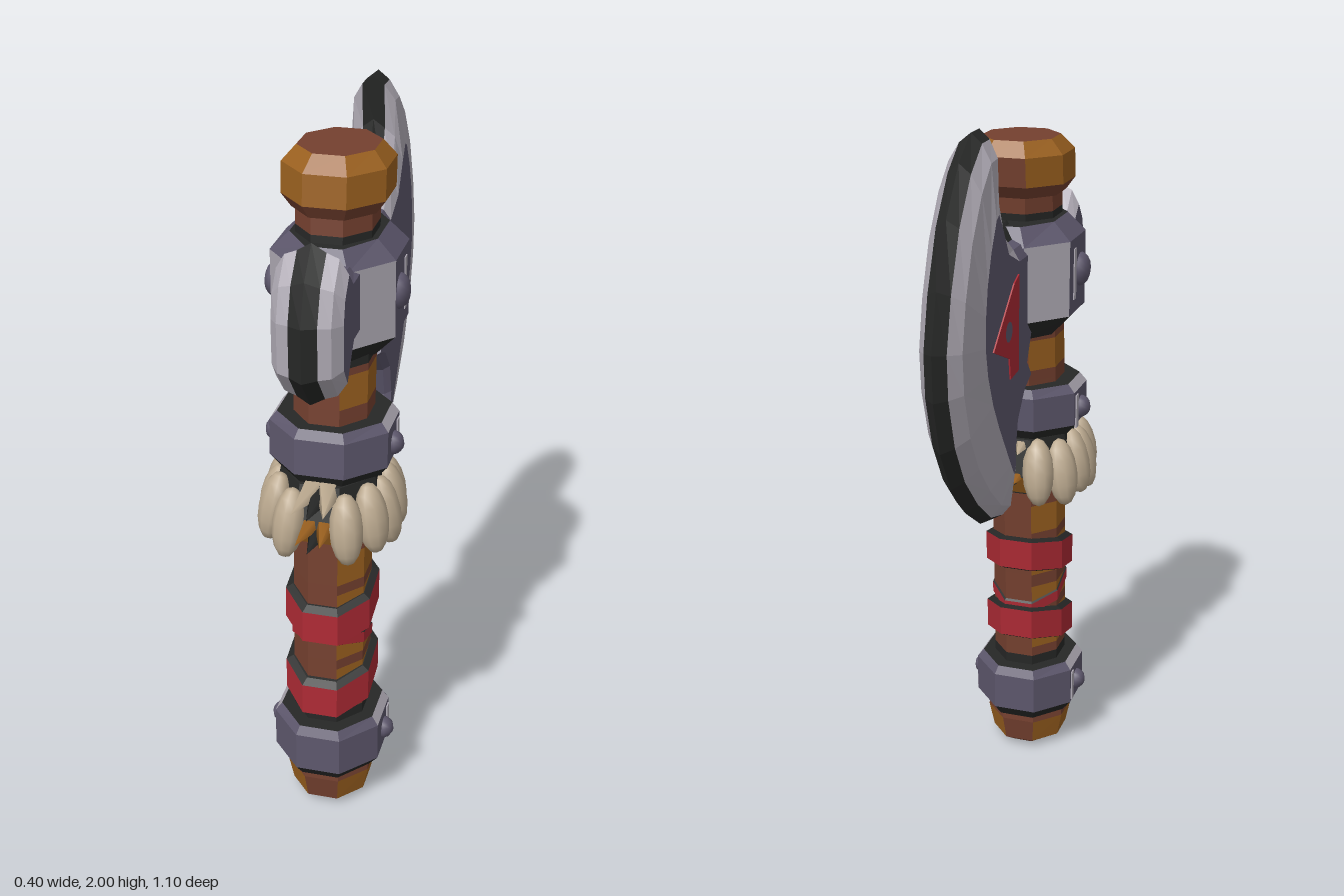
import * as THREE from 'three';

const mat = (name, color) => {
  const m = new THREE.MeshStandardMaterial({ color });
  m.name = name;
  return m;
};
const M = {
  wood: mat('brown wood', 0x74402f), grain: mat('orange wood', 0x9a601f),
  dark: mat('black edge', 0x262726), steel: mat('purple steel', 0x5d576c),
  light: mat('light steel', 0xaea9b3), red: mat('red cloth', 0xac2a34),
  cream: mat('cream fur', 0xbcaa90),
};
const SIDES = 8;

// The handle bends slightly backwards as it rises
const bend = (y) => 0.29 - 0.012 * y - 0.027 * y * y;

// Flat-shaded mesh from triangles sorted by material name
function facets(name, tris) {
  const used = [...new Set(tris.map((t) => t[0]))];
  const pos = [];
  const geo = new THREE.BufferGeometry();
  used.forEach((key, i) => {
    const start = pos.length / 3;
    for (const t of tris) if (t[0] === key) pos.push(...t[1], ...t[2], ...t[3]);
    geo.addGroup(start, pos.length / 3 - start, i);
  });
  geo.setAttribute('position', new THREE.Float32BufferAttribute(pos, 3));
  geo.computeVertexNormals();
  const mesh = new THREE.Mesh(geo, used.map((k) => M[k]));
  mesh.name = name;
  return mesh;
}
const quad = (tris, key, a, b, c, d) => tris.push([key, a, b, c], [key, a, c, d]);

// Eight-sided loft around the handle; rows are [y, half width x, half width z].
// Odd sides face straight out, even sides are the corners.
function loft(name, rows, colour, { shear = 0, centre = bend } = {}) {
  const c = Math.cos(Math.PI / SIDES), tris = [];
  const ring = rows.map(([y, rx, rz]) => Array.from({ length: SIDES }, (_, i) => {
    const a = ((i + 0.5) / SIDES) * Math.PI * 2, dz = (Math.cos(a) * rz) / c;
    return [(Math.sin(a) * rx) / c, y - shear * dz, centre(y) + dz];
  }));
  const last = rows.length - 1;
  const mid = (j) => [0, rows[j][0], centre(rows[j][0])];
  for (let i = 0; i < SIDES; i++) {
    const n = (i + 1) % SIDES;
    for (let j = 0; j < last; j++) {
      quad(tris, colour(j, i), ring[j][i], ring[j][n], ring[j + 1][n], ring[j + 1][i]);
    }
    tris.push([colour(last, i), mid(last), ring[last][i], ring[last][n]]);
    tris.push([colour(0, i), mid(0), ring[0][n], ring[0][i]]);
  }
  return facets(name, tris);
}

// Sharp-edged plate mirrored in x; rows are [z, y, body z, body y, rim share]
function bladePlate(name, rows, half) {
  const tris = [], n = rows.length;
  for (const s of [1, -1]) {
    const loop = (x, share) => rows.map(([z, y, bz, by, t]) => {
      const u = share(t);
      return [s * x * half, y + (by - y) * u, z + (bz - z) * u];
    });
    const loops = [loop(0, () => 0), loop(0.4, (t) => t),
      loop(0.75, (t) => t + (1 - t) * 0.25), loop(1, () => 1)];
    for (let j = 0; j < 3; j++) {
      for (let k = 0; k < n; k++) {
        const m = (k + 1) % n;
        const isLight = rows[k][4] < 0.5 && rows[m][4] < 0.5;
        const key = j === 0 ? 'dark' : isLight ? 'light' : 'steel';
        const q = [loops[j + 1][k], loops[j + 1][m], loops[j][m], loops[j][k]];
        quad(tris, key, ...(s > 0 ? q : q.reverse()));
      }
    }
    const body = loops[3].map((p) => new THREE.Vector2(-p[2], p[1]));
    for (const [a, b, c] of THREE.ShapeUtils.triangulateShape(body, [])) {
      const turn = body[b].clone().sub(body[a]).cross(body[c].clone().sub(body[a]));
      const f = turn * s > 0 ? [a, b, c] : [a, c, b];
      tris.push(['steel', ...f.map((i) => loops[3][i])]);
    }
  }
  return facets(name, tris);
}

export function createModel() {
  const model = new THREE.Group();
  model.name = 'battleAxe';
  const add = (...o) => model.add(...o);

  // Shaft with orange grain patches and dark bands beside the fittings
  const shaftY = [0.1, 0.29, 0.33, 0.36, 0.48, 0.51, 0.57, 0.61, 0.72, 0.75, 0.84, 0.88,
    1.2, 1.24, 1.27, 1.36, 1.38, 1.42, 1.68, 1.73, 1.82];
  const darkRows = [1, 11, 16, 18], grainRows = [3, 5, 7, 9, 14];
  add(loft('shaft', shaftY.map((y) => [y, 0.1, 0.113]), (j, i) => {
    if (darkRows.includes(j)) return 'dark';
    if (grainRows.includes(j) && (i % 4 === 1 || i === 0 || i === 4)) return 'grain';
    return 'wood';
  }));

  // Pommel and top cap
  add(loft('pommel', [[0, 0.07, 0.08], [0.025, 0.105, 0.115], [0.1, 0.12, 0.128], [0.16, 0.115, 0.125]],
    (j, i) => (j === 0 ? 'wood' : j === 1 && i % 4 !== 3 ? 'grain' : 'wood')));
  add(loft('topCap', [[1.775, 0.11, 0.12], [1.81, 0.135, 0.145], [1.89, 0.135, 0.145], [1.93, 0.1, 0.11]],
    (j, i) => (j === 3 ? 'wood' : j === 0 ? 'wood' : j === 1 && i === 3 ? 'wood' : 'grain')));

  // Steel collars
  for (const [name, y0, y1, rx, rz] of [['lowerCollar', 0.125, 0.3, 0.152, 0.165],
    ['upperCollar', 1.065, 1.225, 0.162, 0.158]]) {
    add(loft(name, [[y0, rx * 0.82, rz * 0.85], [y0 + 0.035, rx, rz], [y1 - 0.025, rx, rz], [y1, rx * 0.88, rz * 0.92]],
      (j, i) => (j === 0 || j === 3 ? 'dark' : j === 2 && i % 4 === 1 ? 'light' : 'steel')));
  }

  // Head socket with dark top and bottom and light corners
  add(loft('headSocket', [[1.39, 0.11, 0.15], [1.45, 0.165, 0.188], [1.66, 0.165, 0.188], [1.71, 0.115, 0.16]],
    (j, i) => (j === 0 || j === 3 ? 'dark' : j === 1 && i % 2 === 0 ? 'light' : 'steel'),
    { centre: () => 0.17 }));

  // Side studs, and light worn strips beside them
  for (const s of [1, -1]) {
    for (const [y, z, x, r] of [[0.215, 0.28, 0.15, 0.032], [1.14, 0.24, 0.16, 0.033], [1.56, 0.2, 0.162, 0.048]]) {
      const stud = new THREE.Mesh(new THREE.SphereGeometry(r, 10, 8), M.steel);
      stud.name = 'stud';
      stud.position.set(s * x, y, z);
      stud.scale.x = 0.032 / r;
      add(stud);
      const worn = new THREE.Mesh(new THREE.BoxGeometry(0.006, r * 3, 0.02), M.light);
      worn.name = 'wornStrip';
      worn.position.set(s * (x + 0.003), y, z - r - 0.012);
      add(worn);
    }
  }

  // Red cloth wraps, slanting up towards the back, and a crossing strap
  const wrap = (name, y, h, rx, rz, shear) => add(loft(name,
    [[y - h, rx * 0.85, rz * 0.85], [y - h + 0.008, rx, rz], [y + h - 0.008, rx, rz], [y + h, rx * 0.85, rz * 0.85]],
    (j) => (j === 1 ? 'red' : 'dark'), { shear }));
  wrap('lowerWrap', 0.42, 0.054, 0.12, 0.143, 0.24);
  wrap('upperWrap', 0.655, 0.054, 0.12, 0.14, 0.22);
  wrap('crossStrap', 0.54, 0.024, 0.104, 0.118, -0.35);

  // Fur collar: leather skirt, cream tufts and ragged knots front and back
  const fur = new THREE.Group();
  fur.name = 'furCollar';
  fur.position.set(0, 0, 0.258);
  add(fur);
  add(loft('furSkirt', [[0.9, 0.13, 0.15], [0.96, 0.15, 0.18], [1.07, 0.13, 0.15]],
    (j, i) => (j === 0 && i % 2 ? 'grain' : 'dark')));
  const tuft = new THREE.SphereGeometry(1, 10, 8);
  const around = (angle, mesh) => {
    const arm = new THREE.Group();
    arm.rotation.y = angle;
    arm.add(mesh);
    fur.add(arm);
  };
  for (let i = 0; i < 14; i++) {
    if (i % 7 === 0) continue;
    const a = (i / 14) * Math.PI * 2;
    const m = new THREE.Mesh(tuft, M.cream);
    m.name = 'furTuft';
    m.scale.set(0.046, 0.1, 0.042);
    m.position.set(0, 0.975 - 0.012 * (i % 2), 0.15 + 0.035 * Math.abs(Math.cos(a)));
    m.rotation.x = -0.22;
    around(a, m);
  }
  for (const [a, reach] of [[0, 0.22], [Math.PI, 0.19]]) {
    [['dark', 0, 1.04], ['cream', 0.16, 1.05], ['cream', -0.16, 1.05], ['grain', 0.12, 0.96],
      ['grain', -0.12, 0.96], ['dark', 0, 0.94]].forEach(([key, turn, y]) => {
      const m = new THREE.Mesh(new THREE.ConeGeometry(0.034, 0.14, 5), M[key]);
      m.name = 'raggedKnot';
      m.position.set(0, y, reach - 0.02);
      m.rotation.x = Math.PI / 2;
      around(a + turn, m);
    });
  }

  // Crescent blade at the back
  add(bladePlate('blade', [
    [0.04, 1.72, 0.04, 1.64, 0.5], [-0.07, 1.71, -0.08, 1.64, 0.45], [-0.15, 1.78, -0.17, 1.68, 0.4],
    [-0.19, 1.88, -0.22, 1.76, 0.2], [-0.18, 2, -0.25, 1.8, 0.12], [-0.245, 2, -0.27, 1.79, 0.12],
    [-0.335, 1.94, -0.31, 1.72, 0.12], [-0.43, 1.82, -0.34, 1.64, 0.12], [-0.505, 1.66, -0.355, 1.56, 0.14],
    [-0.545, 1.51, -0.358, 1.48, 0.14], [-0.54, 1.385, -0.34, 1.4, 0.14], [-0.495, 1.235, -0.3, 1.31, 0.14],
    [-0.42, 1.11, -0.25, 1.23, 0.14], [-0.31, 1, -0.2, 1.16, 0.14], [-0.19, 0.92, -0.15, 1.09, 0.12],
    [-0.08, 0.89, -0.12, 1.05, 0.12], [-0.07, 1.01, -0.105, 1.075, 0.25], [-0.09, 1.09, -0.11, 1.11, 0.5],
    [-0.07, 1.17, -0.09, 1.2, 0.5], [-0.01, 1.24, -0.03, 1.27, 0.5], [0.07, 1.27, 0.03, 1.295, 0.6],
    [0.01, 1.33, -0.01, 1.34, 0.5], [0.04, 1.4, 0.03, 1.42, 0.5],
  ], 0.076));

  // Flared hammer at the front
  add(bladePlate('hammer', [
    [0.3, 1.46, 0.3, 1.5, 0.5], [0.385, 1.45, 0.39, 1.5, 0.4], [0.47, 1.345, 0.455, 1.41, 0.3],
    [0.55, 1.44, 0.49, 1.46, 0.3], [0.55, 1.585, 0.49, 1.58, 0.3], [0.51, 1.69, 0.475, 1.64, 0.3],
    [0.44, 1.765, 0.435, 1.69, 0.3], [0.39, 1.71, 0.395, 1.65, 0.4], [0.3, 1.7, 0.3, 1.65, 0.5],
  ], 0.092));

  // Painted red triangle with a round gap on both blade faces
  const paint = new THREE.Shape([[0.095, 1.61], [0.135, 1.595], [0.305, 1.455], [0.175, 1.4], [0.165, 1.34], [0.095, 1.345]]
    .map((p) => new THREE.Vector2(...p)));
  paint.holes.push(new THREE.Path().absarc(0.18, 1.475, 0.028, 0, Math.PI * 2, true));
  const paintGeo = new THREE.ExtrudeGeometry(paint, { depth: 0.006, bevelEnabled: false, curveSegments: 6 });
  paintGeo.rotateY(Math.PI / 2);
  for (const x of [0.074, -0.08]) {
    const m = new THREE.Mesh(paintGeo, M.red);
    m.name = 'bladePaint';
    m.position.x = x;
    add(m);
  }
  return model;
}
